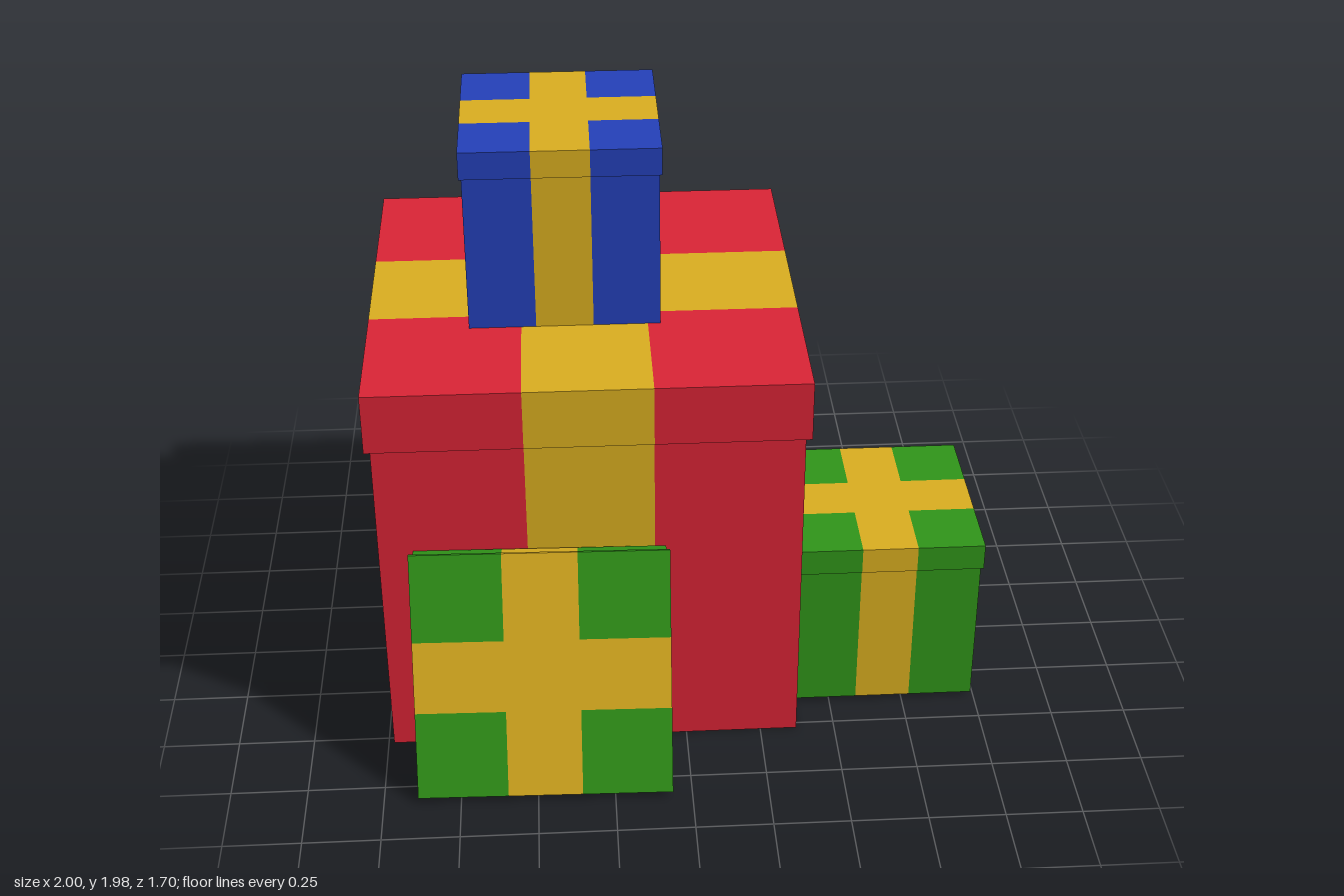
import * as THREE from 'three';

const GOLD = new THREE.MeshStandardMaterial({ color: 0xd9ad20 });
const paper = (color) => new THREE.MeshStandardMaterial({ color });
const RED = paper(0xd92435), BLUE = paper(0x2440b8), GREEN = paper(0x309419);

// Box cut along the ribbon lines; its faces are split into paper and ribbon meshes
function wrappedBox(name, width, height, ribbon, material, goldBase) {
  const box = new THREE.BoxGeometry(width, height, width, 3, 1, 3);
  const pos = box.attributes.position;
  const snap = (v) => Math.sign(v) * (Math.abs(v) > width / 3 ? width : ribbon) / 2;
  for (let i = 0; i < pos.count; i++) {
    pos.setX(i, snap(pos.getX(i)));
    pos.setZ(i, snap(pos.getZ(i)));
  }
  const paperFaces = [], ribbonFaces = [];
  const idx = box.index.array;
  for (let i = 0; i < idx.length; i += 3) {
    const tri = [idx[i], idx[i + 1], idx[i + 2]];
    const mean = (get) => tri.reduce((sum, v) => sum + get(v), 0) / 3;
    const x = mean((v) => pos.getX(v)), y = mean((v) => pos.getY(v)), z = mean((v) => pos.getZ(v));
    const isBase = goldBase && y < -height * 0.49;
    const isRibbon = isBase || Math.abs(x) < ribbon / 2 || Math.abs(z) < ribbon / 2;
    (isRibbon ? ribbonFaces : paperFaces).push(...tri);
  }
  const group = new THREE.Group();
  group.name = name;
  for (const [part, faces, mat] of [['Paper', paperFaces, material], ['Ribbon', ribbonFaces, GOLD]]) {
    const geometry = box.clone();
    geometry.setIndex(faces);
    const mesh = new THREE.Mesh(geometry.toNonIndexed(), mat);
    mesh.name = name + part;
    group.add(mesh);
  }
  return group;
}

// Present standing on its own origin: body plus a slightly wider lid
function present(name, width, height, material, x, y, z) {
  const group = new THREE.Group();
  group.name = name;
  const ribbon = width * 0.292, lidHeight = height * 0.148, bodyHeight = height - lidHeight;
  const body = wrappedBox('body', width * 0.974, bodyHeight, ribbon, material, true);
  body.position.y = bodyHeight / 2;
  const lid = wrappedBox('lid', width, lidHeight, ribbon, material, false);
  lid.position.y = height - lidHeight / 2;
  group.add(body, lid);
  group.position.set(x, y, z);
  return group;
}

export function createModel() {
  const model = new THREE.Group();
  model.name = 'presents';
  model.add(present('largePresent', 1.39, 1.36, RED, -0.305, 0, -0.152));
  model.add(present('topPresent', 0.63, 0.615, BLUE, -0.368, 1.36, -0.178));
  model.add(present('sidePresent', 0.63, 0.615, GREEN, 0.683, 0.015, 0.08));

  // Flat present leaning against the front of the large one
  const flat = present('leaningPresent', 0.825, 0.08, GREEN, -0.472, 0.393, 0.648);
  flat.rotation.set(THREE.MathUtils.degToRad(73.5), -0.02, 0, 'YXZ');
  model.add(flat);
  return model;
}
